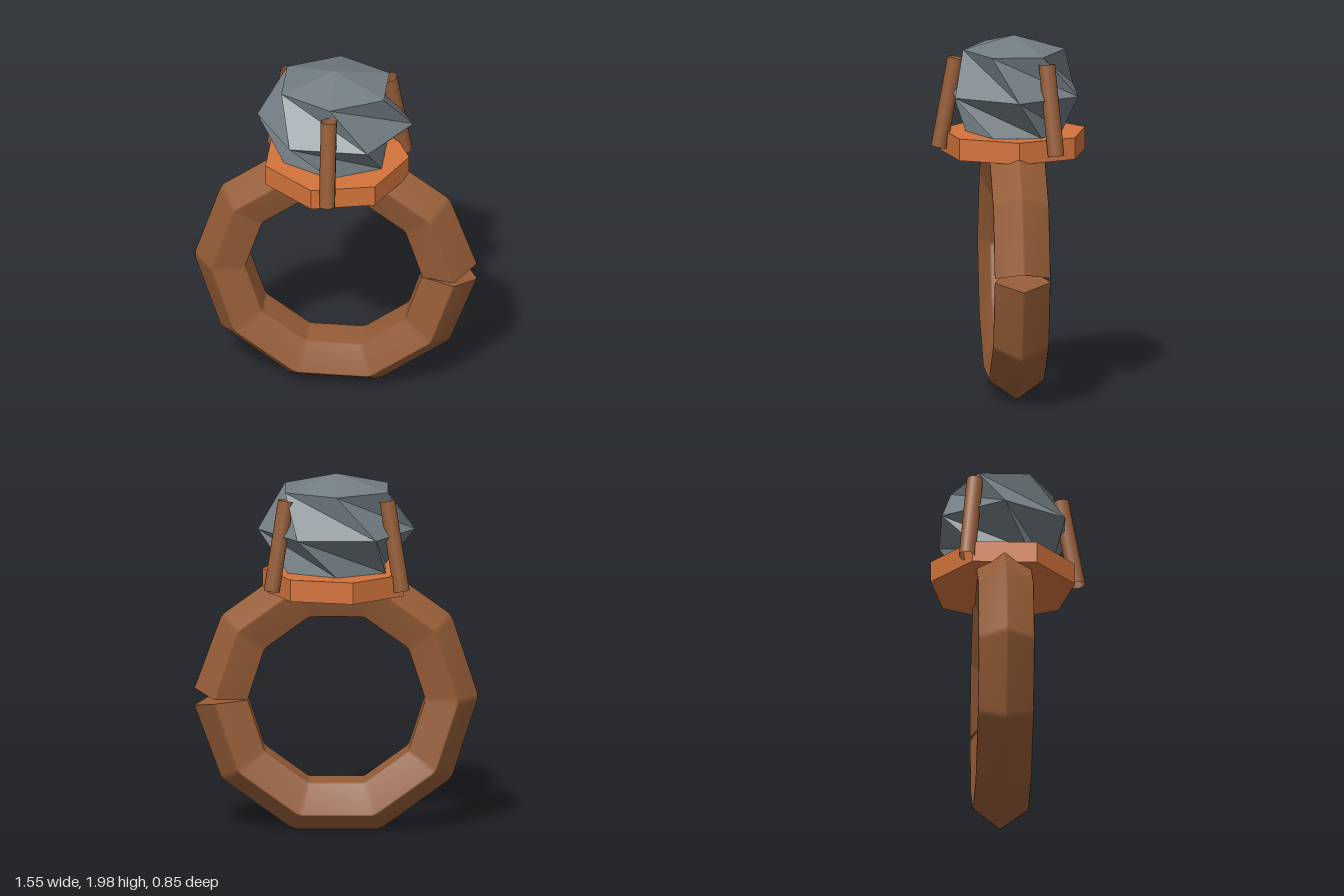
import * as THREE from 'three';

const CZ = -0.03; // depth of the ring axis plane

const brown = new THREE.MeshStandardMaterial({ color: 0x965d37, side: THREE.DoubleSide });
brown.name = 'bronze';
const orange = new THREE.MeshStandardMaterial({ color: 0xd2733b, flatShading: true });
orange.name = 'copper';
const grey = new THREE.MeshStandardMaterial({ color: 0x727d83, flatShading: true });
grey.name = 'stone grey';

function makeGeometry(points, index) {
  const g = new THREE.BufferGeometry();
  g.setAttribute('position', new THREE.Float32BufferAttribute(points.flat(), 3));
  g.setIndex(index);
  g.computeVertexNormals();
  return g;
}

// Ten-sided band with a five-sided section, narrow soft edges and a notch at +x
function bandGeometry() {
  const R = 0.617, r = 0.163, SEG = 10, SIDES = 5, SOFT = 0.04;
  const corner = (k, m) => {
    const a = (k / SEG) * Math.PI * 2, t = (m / SIDES) * Math.PI * 2;
    const rad = R + r * Math.cos(t);
    const end = k === 0 ? 1 : k === SEG ? -1 : 0;
    const gap = end * 0.05 * Math.max(0, (rad - 0.635) / 0.145);
    return new THREE.Vector3(rad * Math.cos(a), rad * Math.sin(a) + gap, r * Math.sin(t));
  };
  const at = (s, u) => {
    const k = Math.min(Math.floor(s), SEG - 1), m = Math.floor(u);
    const p = corner(k, m).lerp(corner(k, m + 1), u - m);
    const q = corner(k + 1, m).lerp(corner(k + 1, m + 1), u - m);
    return p.lerp(q, s - k).toArray();
  };
  const ss = [0], us = [];
  for (let k = 1; k < SEG; k++) ss.push(k - SOFT, k + SOFT);
  ss.push(SEG);
  for (let m = 0; m < SIDES; m++) us.push(m + SOFT, m + 1 - SOFT);
  const n = us.length, pts = [], idx = [];
  for (const s of ss) for (const u of us) pts.push(at(s, u));
  for (let i = 0; i < ss.length - 1; i++) {
    for (let j = 0; j < n; j++) {
      const a = i * n + j, b = i * n + (j + 1) % n;
      idx.push(a, a + n, b, b, a + n, b + n);
    }
  }
  // Faces of the notch
  for (const s of [0, SEG]) {
    const o = pts.length;
    for (const u of us) pts.push(at(s, u));
    for (let j = 1; j < n - 1; j++) {
      if (s === 0) idx.push(o, o + j, o + j + 1);
      else idx.push(o, o + j + 1, o + j);
    }
  }
  return makeGeometry(pts, idx);
}

// Six-sided stone whose long diagonals cut twisted grooves
function stoneGeometry() {
  const pts = [], idx = [];
  const ring = (y, rx, rz, turn) => {
    for (let k = 0; k < 6; k++) {
      const a = (k * 60 + turn) * Math.PI / 180;
      pts.push([rx * Math.cos(a), y, rz * Math.sin(a)]);
    }
  };
  ring(1.92, 0.325, 0.28, 30); // shoulder
  ring(1.69, 0.43, 0.39, 0);   // girdle
  ring(1.47, 0.31, 0.265, 30); // base
  pts.push([0, 2, 0], [0, 1.47, 0]);
  const w = (k) => (k + 12) % 6;
  const A = (k) => w(k), B = (k) => 6 + w(k), C = (k) => 12 + w(k);
  for (let k = 0; k < 6; k++) {
    idx.push(18, A(k), A(k - 1));
    idx.push(A(k), B(k), B(k - 1), A(k), B(k - 1), A(k - 1));
    idx.push(B(k), C(k - 1), C(k - 2), B(k), C(k - 2), B(k - 1));
    idx.push(19, C(k - 1), C(k));
  }
  return makeGeometry(pts, idx);
}

export function createModel() {
  const model = new THREE.Group();
  model.name = 'gemRing';
  const add = (name, geometry, material, y = 0) => {
    const mesh = new THREE.Mesh(geometry, material);
    mesh.name = name;
    mesh.position.set(0, y, CZ);
    model.add(mesh);
    return mesh;
  };

  add('band', bandGeometry(), brown, 0.755);
  add('settingPlate', new THREE.CylinderGeometry(0.405, 0.405, 0.12, 7, 1, false, Math.PI / 2), orange, 1.41);
  add('stone', stoneGeometry(), grey);

  // Three hollow prongs leaning in over the stone
  const up = new THREE.Vector3(0, 1, 0);
  for (let i = 0; i < 3; i++) {
    const a = Math.PI / 2 + (i * Math.PI * 2) / 3;
    const low = new THREE.Vector3(0.41 * Math.cos(a), 1.385, 0.41 * Math.sin(a));
    const high = new THREE.Vector3(0.32 * Math.cos(a), 1.88, 0.32 * Math.sin(a));
    const axis = high.clone().sub(low);
    const prong = add('prong' + (i + 1), new THREE.CylinderGeometry(0.045, 0.045, axis.length(), 10, 1, true), brown);
    prong.position.add(low.add(high).multiplyScalar(0.5));
    prong.quaternion.setFromUnitVectors(up, axis.normalize());
  }
  return model;
}
